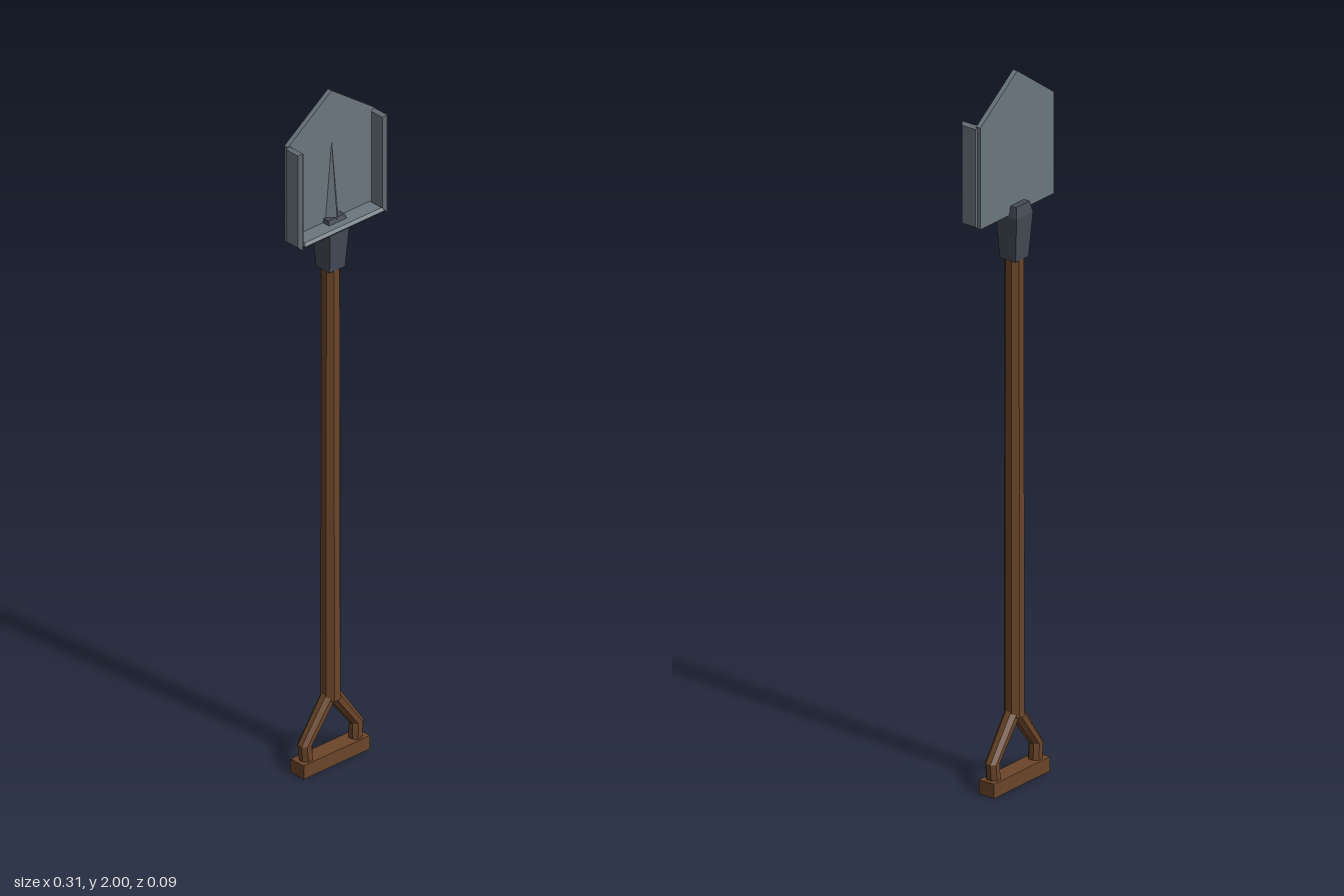
import * as THREE from 'three';
import { ConvexGeometry } from 'three/addons/geometries/ConvexGeometry.js';

const mat = (name, color) => {
  const m = new THREE.MeshStandardMaterial({ color });
  m.name = name;
  return m;
};

// Unit cross-sections in x/z; corners run so that outward faces show
const OCTAGON = [[1, 0.41], [0.41, 1], [-0.41, 1], [-1, 0.41], [-1, -0.41], [-0.41, -1], [0.41, -1], [1, -0.41]];
const RECT = [[1, 1], [-1, 1], [-1, -1], [1, -1]];

// Flat-shaded loft through horizontal rings [y, cx, cz, halfX, halfZ], bottom to top
function loft(section, rings) {
  const n = section.length, pos = [], index = [];
  for (const [y, cx, cz, hx, hz] of rings)
    for (const [x, z] of section) pos.push(cx + x * hx, y, cz + z * hz);
  for (let r = 0; r < rings.length - 1; r++)
    for (let i = 0; i < n; i++) {
      const a = r * n + i, b = r * n + (i + 1) % n;
      index.push(a, a + n, b, b, a + n, b + n);
    }
  const top = (rings.length - 1) * n;
  for (let i = 1; i < n - 1; i++)
    index.push(0, i, i + 1, top, top + i + 1, top + i);
  const g = new THREE.BufferGeometry();
  g.setAttribute('position', new THREE.Float32BufferAttribute(pos, 3));
  g.setIndex(index);
  const flat = g.toNonIndexed();
  flat.computeVertexNormals();
  return flat;
}

// Thin slab in x/y whose rim comes to a ridge halfway through its thickness
function ridgedSlab(w, h, t, inset) {
  const pts = [];
  for (const [z, k] of [[-t / 2, inset], [0, 0], [t / 2, inset]])
    for (const sx of [-1, 1])
      for (const sy of [-1, 1])
        pts.push(new THREE.Vector3(sx * (w / 2 - k), sy * (h / 2 - k), z));
  return new ConvexGeometry(pts);
}

export function createModel() {
  const model = new THREE.Group();
  model.name = 'shovel';
  const steel = mat('blade steel', 0x6b767e);
  const iron = mat('socket iron', 0x454a57);
  const wood = mat('handle wood', 0x6b4529);
  const add = (name, geometry, material) => {
    const mesh = new THREE.Mesh(geometry, material);
    mesh.name = name;
    model.add(mesh);
    return mesh;
  };
  const cz = -0.01;

  // Pointed blade plate
  const outline = new THREE.Shape(
    [[-0.153, 1.605], [0.153, 1.605], [0.153, 1.89], [0, 2], [-0.153, 1.89]].map(p => new THREE.Vector2(...p)));
  add('blade', new THREE.ExtrudeGeometry(outline, { depth: 0.014, bevelEnabled: false }).translate(0, 0, -0.02), steel);

  // Raised side flanges and bottom lip
  for (const [side, s] of [['left', 1], ['right', -1]])
    add(side + 'Flange', ridgedSlab(0.06, 0.29, 0.018, 0.008).rotateY(Math.PI / 2).translate(s * 0.148, 1.747, 0.015), steel);
  add('bottomLip', ridgedSlab(0.28, 0.06, 0.016, 0.006).rotateX(Math.PI / 2).translate(0, 1.61, 0.015), steel);

  // Tapering ridge on the blade face
  add('bladeSpike', new ConvexGeometry([
    [-0.024, 1.62, -0.008], [0.024, 1.62, -0.008], [0, 1.62, 0.016], [0, 1.85, -0.006], [0, 1.85, -0.01],
  ].map(p => new THREE.Vector3(...p))), steel);

  // Socket joining shaft and blade
  add('socket', loft(RECT, [
    [1.475, 0, cz, 0.027, 0.026],
    [1.6, 0, cz, 0.034, 0.035],
    [1.63, 0, cz - 0.003, 0.028, 0.026],
  ]), iron);

  // Eight-sided shaft, a little thicker toward the grip
  add('shaft', loft(OCTAGON, [
    [0.19, 0, cz, 0.025, 0.026],
    [0.77, 0, cz, 0.025, 0.025],
    [1.49, 0, cz, 0.024, 0.024],
  ]), wood);

  // Forked arms and cross grip
  for (const [side, s] of [['left', 1], ['right', -1]])
    add(side + 'ForkArm', loft(OCTAGON, [
      [0.03, s * 0.086, cz, 0.017, 0.018],
      [0.085, s * 0.09, cz, 0.019, 0.018],
      [0.208, 0, cz, 0.024, 0.02],
    ]), wood);
  add('grip', new THREE.BoxGeometry(0.232, 0.04, 0.05).translate(0, 0.02, cz - 0.001), wood);

  return model;
}
